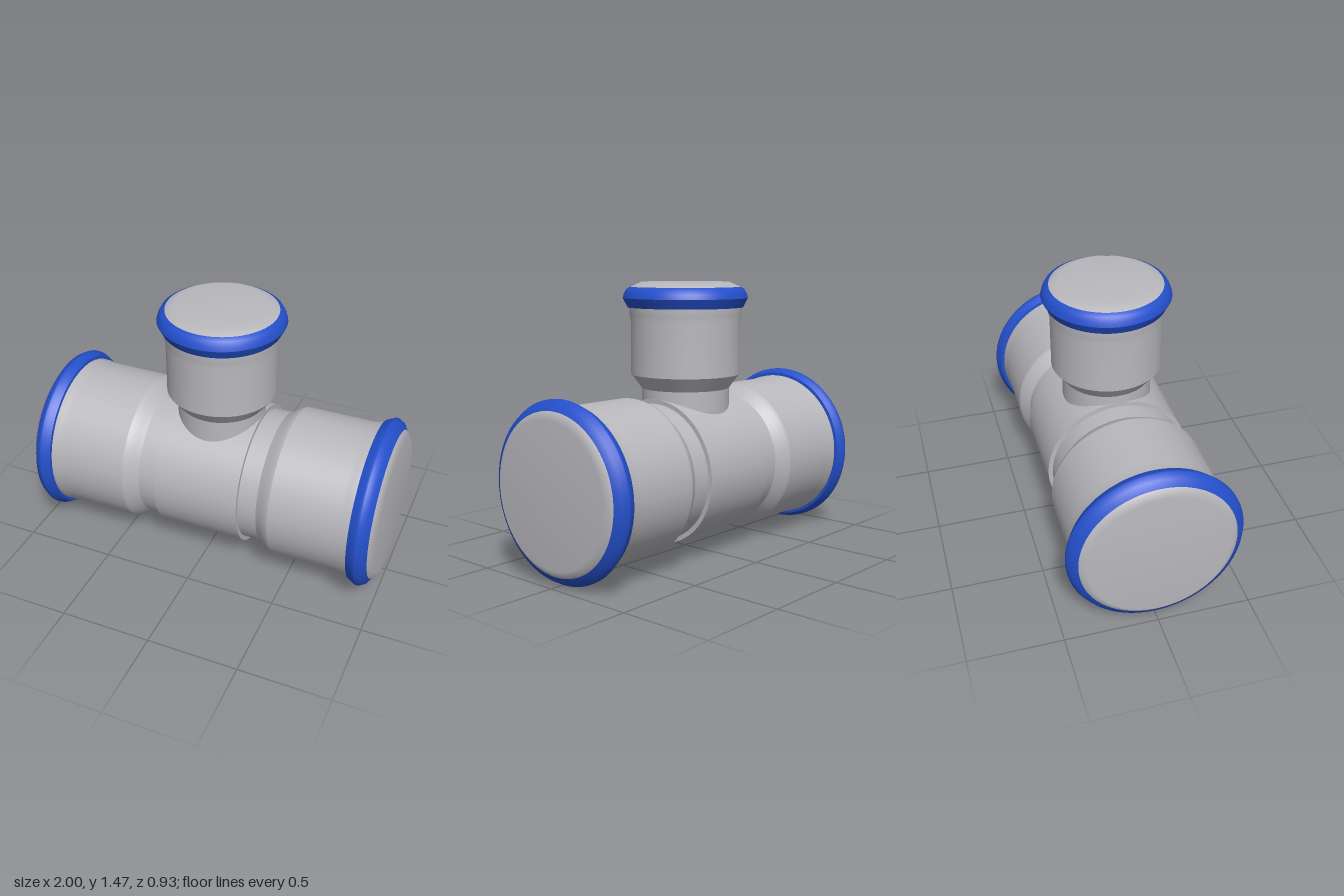
import * as THREE from 'three';

const SEGMENTS = 96;
const AXIS_Y = 0.465;

export function createModel() {
  const model = new THREE.Group();
  model.name = 'teeFitting';

  const metal = new THREE.MeshStandardMaterial({ color: 0xb9b8bd });
  metal.name = 'grey metal';
  const blue = new THREE.MeshStandardMaterial({ color: 0x2450cc });
  blue.name = 'blue ring';

  // Turned part from [radius, height] pairs, listed from bottom to top
  const turned = (parent, name, material, profile) => {
    const points = profile.map(([r, h]) => new THREE.Vector2(r, h));
    const mesh = new THREE.Mesh(new THREE.LatheGeometry(points, SEGMENTS), material);
    mesh.name = name;
    parent.add(mesh);
  };

  // Run: two mirrored sockets lying along x
  for (const side of [1, -1]) {
    const socket = new THREE.Group();
    socket.name = side > 0 ? 'leftSocket' : 'rightSocket';
    socket.position.y = AXIS_Y;
    socket.rotation.z = -side * Math.PI / 2;
    turned(socket, 'neck', metal, [[0.368, 0.2], [0.368, 0.345]]);
    turned(socket, 'shoulder', metal, [[0.368, 0.345], [0.39, 0.378], [0.41, 0.405], [0.417, 0.425]]);
    turned(socket, 'socketWall', metal, [[0.417, 0.425], [0.417, 0.79], [0.424, 0.83], [0.425, 0.865]]);
    turned(socket, 'ringBack', blue, [[0.42, 0.863], [0.442, 0.865]]);
    turned(socket, 'sealRing', blue, [
      [0.442, 0.865], [0.455, 0.89], [0.464, 0.908], [0.464, 0.92], [0.447, 0.95], [0.412, 0.971]]);
    turned(socket, 'endCap', metal, [[0.412, 0.971], [0.372, 1], [0, 1]]);
    model.add(socket);
  }

  // Centre sleeve with stepped ends
  const sleeve = new THREE.Group();
  sleeve.name = 'centreSleeve';
  sleeve.position.y = AXIS_Y;
  sleeve.rotation.z = -Math.PI / 2;
  turned(sleeve, 'sleeveEndRight', metal, [[0.36, -0.241], [0.392, -0.241]]);
  turned(sleeve, 'sleeveWall', metal, [[0.392, -0.241], [0.392, 0.241]]);
  turned(sleeve, 'sleeveEndLeft', metal, [[0.392, 0.241], [0.36, 0.241]]);
  model.add(sleeve);

  // Upright branch
  const branch = new THREE.Group();
  branch.name = 'branch';
  turned(branch, 'branchNeck', metal, [[0.24, 0.72], [0.24, 0.902]]);
  turned(branch, 'branchShoulder', metal, [[0.24, 0.902], [0.297, 0.978]]);
  turned(branch, 'branchWall', metal, [[0.297, 0.978], [0.297, 1.265], [0.304, 1.3], [0.305, 1.342]]);
  turned(branch, 'branchRingBack', blue, [[0.3, 1.34], [0.314, 1.34]]);
  turned(branch, 'branchRingLower', blue, [[0.314, 1.34], [0.34, 1.39]]);
  turned(branch, 'branchSealRing', blue, [[0.34, 1.39], [0.333, 1.415], [0.32, 1.438], [0.297, 1.45]]);
  turned(branch, 'branchCap', metal, [[0.297, 1.45], [0.24, 1.476], [0, 1.476]]);
  model.add(branch);

  return model;
}
